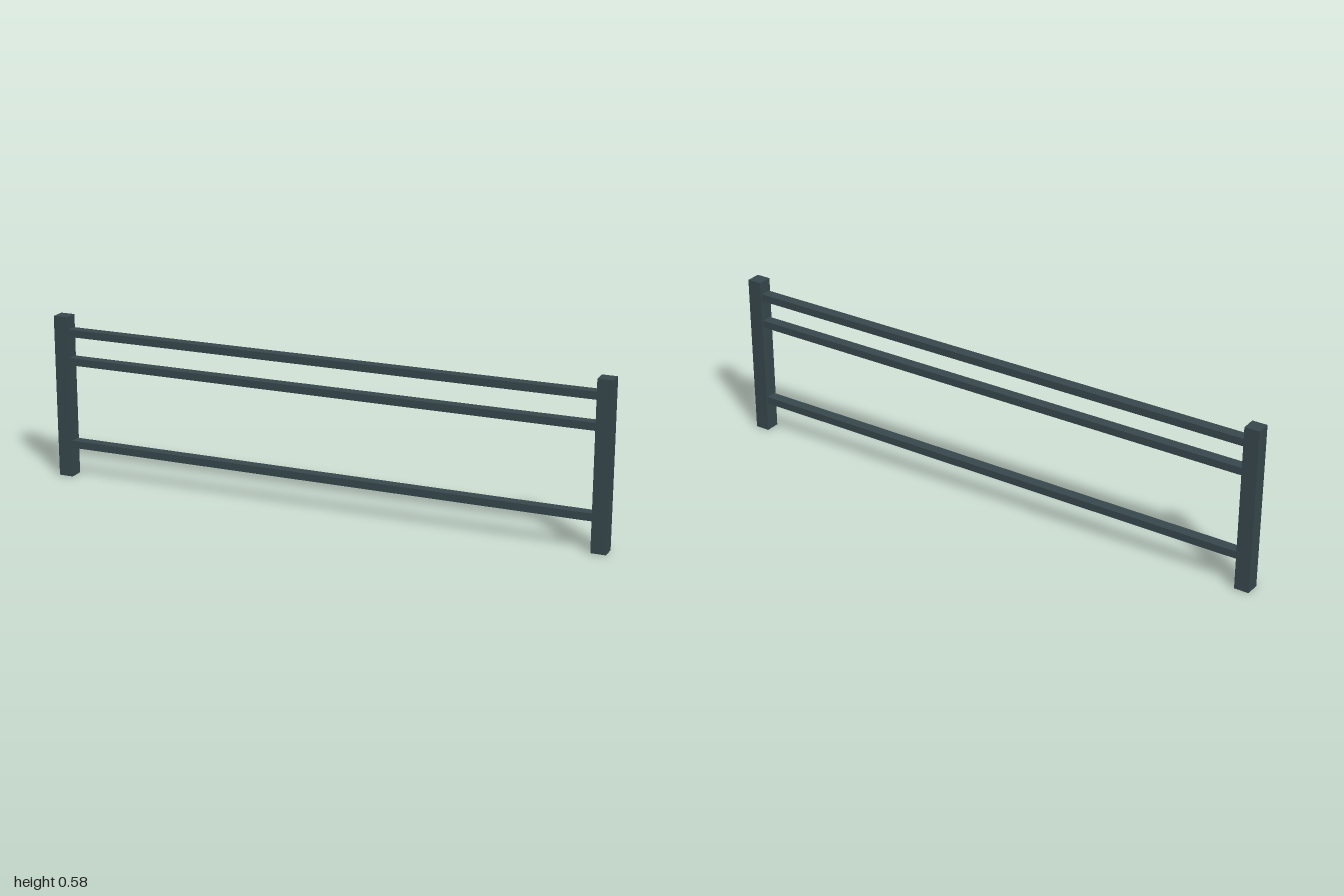
import * as THREE from 'three';

const POST = 0.052, HEIGHT = 0.58;
const RAIL_HEIGHT = 0.026, RAIL_DEPTH = 0.038;

export function createModel() {
  const group = new THREE.Group();
  group.name = 'railFence';
  const darkSlate = new THREE.MeshStandardMaterial({ color: 0x37474b });
  darkSlate.name = 'darkSlate';

  const addBox = (name, w, h, d, x, y) => {
    const mesh = new THREE.Mesh(new THREE.BoxGeometry(w, h, d), darkSlate);
    mesh.name = name;
    mesh.position.set(x, y, 0);
    group.add(mesh);
  };

  // Square end posts
  for (const [name, side] of [['leftPost', 1], ['rightPost', -1]]) {
    addBox(name, POST, HEIGHT, POST, side * (1 - POST / 2), HEIGHT / 2);
  }

  // Flat rails spanning between the inner faces of the posts
  for (const [name, y] of [['lowerRail', 0.118], ['middleRail', 0.42], ['upperRail', 0.522]]) {
    addBox(name, 2 - 2 * POST, RAIL_HEIGHT, RAIL_DEPTH, 0, y);
  }

  return group;
}
